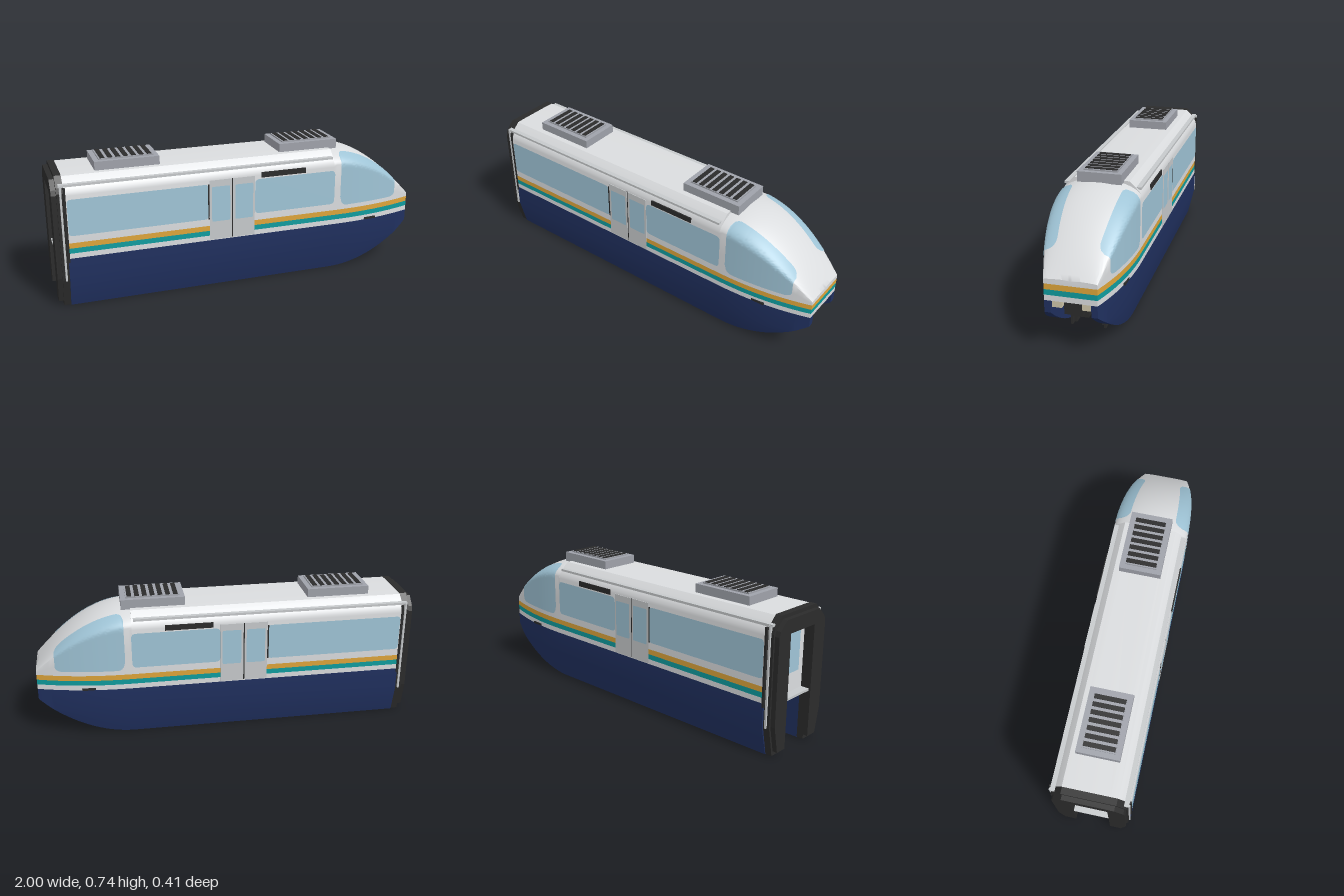
import * as THREE from 'three';
import { toCreasedNormals } from 'three/addons/utils/BufferGeometryUtils.js';

const mat = (name, color, side = THREE.FrontSide) => {
  const m = new THREE.MeshStandardMaterial({ color, side });
  m.name = name;
  return m;
};

export function createModel() {
  const white = mat('white', 0xdadcde), navy = mat('navy', 0x20305f), gold = mat('gold', 0xdda43a);
  const teal = mat('teal', 0x0f9c9e), glass = mat('glass', 0x9fc4d6, THREE.DoubleSide);
  const black = mat('black', 0x2b2b2b), grey = mat('grey', 0x9fa2aa);
  const cream = mat('cream', 0xcfc6aa), silver = mat('silver', 0xc6c9cb);
  const model = new THREE.Group();
  model.name = 'monorailCar';

  const add = (parent, name, geometry, material) => {
    const m = new THREE.Mesh(geometry, material);
    m.name = name;
    parent.add(m);
    return m;
  };
  // box given by its limits
  const box = (parent, name, material, x0, x1, y0, y1, z0, z1) => {
    const g = new THREE.BoxGeometry(x1 - x0, y1 - y0, z1 - z0);
    g.translate((x0 + x1) / 2, (y0 + y1) / 2, (z0 + z1) / 2);
    return add(parent, name, g, material);
  };
  const fromTriangles = (pos, crease) => {
    const g = new THREE.BufferGeometry();
    g.setAttribute('position', new THREE.Float32BufferAttribute(pos, 3));
    g.computeVertexNormals();
    return toCreasedNormals(g, crease);
  };
  // closed sections [z, y] lofted along x, with end caps
  const loft = (ringAt, xs, crease = 0.6) => {
    const rings = xs.map(x => ringAt(x).map(([z, y]) => [x, y, z]));
    const n = rings[0].length, pos = [];
    for (let k = 0; k + 1 < rings.length; k++) {
      for (let i = 0; i < n; i++) {
        const j = (i + 1) % n, a = rings[k], b = rings[k + 1];
        pos.push(...a[i], ...b[i], ...b[j], ...a[i], ...b[j], ...a[j]);
      }
    }
    [rings[0], rings[rings.length - 1]].forEach((r, end) => {
      const c = [0, 1, 2].map(d => r.reduce((s, p) => s + p[d], 0) / n);
      for (let i = 0; i < n; i++) {
        const p = r[i], q = r[(i + 1) % n];
        pos.push(...c, ...(end ? q : p), ...(end ? p : q));
      }
    });
    return fromTriangles(pos, crease);
  };
  // open patch from f(u, v), u and v in 0..1
  const patch = (f, nu, nv) => {
    const pos = [];
    for (let i = 0; i < nu; i++) for (let j = 0; j < nv; j++) {
      const p = (a, b) => f((i + a) / nu, (j + b) / nv);
      pos.push(...p(0, 0), ...p(1, 0), ...p(1, 1), ...p(0, 0), ...p(1, 1), ...p(0, 1));
    }
    return fromTriangles(pos, 0.8);
  };
  const shapeOf = pts => new THREE.Shape(pts.map(p => new THREE.Vector2(...p)));
  const mirrored = half => [...half, ...half.slice().reverse().map(([z, y]) => [-z, y])];

  // taper of the nose: half width, roof height and lower edge
  const REAR = -0.94, NOSE = 0.5, WAIST = 0.352, FLOOR = 0.27;
  const taper = x => Math.max(0, (x - NOSE) / (1 - NOSE));
  const width = x => 0.2 - 0.075 * taper(x) ** 2.2;
  const top = x => 0.685 - 0.305 * taper(x) ** 2;
  const bottom = x => 0.21 * taper(x) ** 2;
  const noseXs = Array.from({ length: 31 }, (_, i) => NOSE + (1 - NOSE) * i / 30);
  const allXs = [REAR, ...noseXs];

  // painted bands around the waist
  [['lowerBand', white, FLOOR, 0.297], ['tealStripe', teal, 0.297, 0.324], ['goldStripe', gold, 0.324, WAIST]]
    .forEach(([name, m, y0, y1]) => add(model, name, loft(x => {
      const w = width(x);
      return [[w, y0], [w, y1], [-w, y1], [-w, y0]];
    }, allXs), m));

  // passenger cabin and rounded nose
  const cabin = [[0.2, WAIST], [0.2, 0.6], [0.197, 0.615], [0.188, 0.634], [0.165, 0.66], [0.138, 0.684], [0.1, 0.686]];
  add(model, 'cabin', loft(() => mirrored(cabin), [REAR, NOSE]), white);
  const noseAt = (x, s) => {
    const a = Math.max(0, s - 0.5) * Math.PI;
    const r = s < 0.5 ? 1.5 * s : 0.75 + 0.25 * Math.sin(a);
    return [width(x) * Math.cos(a), WAIST + (top(x) - WAIST) * r];
  };
  const sSteps = [0, 0.25, ...Array.from({ length: 17 }, (_, i) => 0.5 + i / 32)];
  add(model, 'nose', loft(x => mirrored(sSteps.map(s => noseAt(x, s))), noseXs, 0.7), white);
  box(model, 'underfloor', black, REAR + 0.01, 0.985, 0.262, 0.271, -0.096, 0.096);

  // everything that exists on both sides
  for (const s of [1, -1]) {
    const side = new THREE.Group();
    side.name = s > 0 ? 'leftSide' : 'rightSide';
    side.scale.z = s;
    model.add(side);

    // skirt beside the track beam
    add(side, 'skirt', loft(x => {
      const b = bottom(x), knee = Math.max(b + 0.001, 0.15), w = width(x);
      return [[w - 0.035 * Math.max(0, 0.15 - b) / 0.15, b], [w, knee], [w, FLOOR], [0.095, FLOOR], [0.095, b]];
    }, allXs, 0.4), navy);

    // cab window following the nose
    add(side, 'cabWindow', patch((u, v) => {
      const x = 0.54 + 0.36 * u, d = Math.min(x - 0.54, 0.9 - x);
      const k = Math.max(0, 1 - d / 0.04), inset = 0.1 * (1 - Math.sqrt(1 - k * k));
      const lo = 0.023 / ((top(x) - WAIST) * 1.5) + inset, hi = 0.79 - inset;
      const [z, y] = noseAt(x, lo + (hi - lo) * v);
      return [x + 0.001, y + 0.0015, z + 0.002];
    }, 40, 24), glass);

    // flat panes with rounded corners
    const pane = (name, x0, x1, y0, y1, z, r) => {
      const sh = new THREE.Shape();
      sh.moveTo(x0 + r, y0);
      sh.lineTo(x1 - r, y0); sh.quadraticCurveTo(x1, y0, x1, y0 + r);
      sh.lineTo(x1, y1 - r); sh.quadraticCurveTo(x1, y1, x1 - r, y1);
      sh.lineTo(x0 + r, y1); sh.quadraticCurveTo(x0, y1, x0, y1 - r);
      sh.lineTo(x0, y0 + r); sh.quadraticCurveTo(x0, y0, x0 + r, y0);
      add(side, name, new THREE.ShapeGeometry(sh, 6).translate(0, 0, z), glass);
    };
    pane('rearWindow', -0.93, -0.21, 0.39, 0.58, 0.202, 0.02);
    pane('frontWindow', 0.045, 0.505, 0.39, 0.58, 0.202, 0.025);

    // sliding doors
    box(side, 'doorGap', black, -0.085, -0.077, 0.275, 0.6, 0.19, 0.2015);
    [[-0.205, -0.084], [-0.078, 0.043]].forEach(([x0, x1]) => {
      box(side, 'doorLeaf', silver, x0, x1, 0.275, 0.6, 0.19, 0.203);
      pane('doorWindow', x0 + 0.012, x1 - 0.01, 0.375, 0.565, 0.2045, 0.008);
    });
    box(side, 'doorEdge', black, -0.213, -0.206, 0.39, 0.58, 0.195, 0.203);
    box(side, 'displayPanel', black, 0.08, 0.33, 0.587, 0.615, 0.19, 0.204);
    box(side, 'sideMarker', black, 0.7, 0.77, 0.27, 0.282, 0.17, 0.19);

    // rain rail and rear corner pipe
    box(side, 'roofRail', silver, -0.965, 0.49, 0.643, 0.655, 0.17, 0.194);
    box(side, 'cornerPipe', silver, -0.961, -0.951, 0.15, 0.65, 0.185, 0.2);
    box(side, 'rearWindowEdge', black, -0.944, -0.933, 0.25, 0.64, 0.19, 0.203);

    // bogie plates with guide wheel blocks
    for (const cx of [0.565, -0.525]) {
      box(side, 'bogiePlate', black, cx - 0.185, cx + 0.185, 0.02, 0.23, 0.078, 0.088);
      for (const dx of [-0.115, 0.115]) for (const y of [0.025, 0.085])
        box(side, 'guideBlock', black, cx + dx - 0.05, cx + dx + 0.05, y, y + 0.037, 0.062, 0.078);
    }
    box(side, 'headlamp', cream, 0.93, 0.985, 0.232, 0.266, 0.047, 0.093);
  }

  // coupler under the nose
  box(model, 'couplerHead', black, 0.8, 0.96, 0.19, 0.272, -0.045, 0.045);
  box(model, 'couplerArm', black, 0.68, 0.88, 0.14, 0.262, -0.045, 0.045);
  box(model, 'couplerBracket', grey, 0.72, 0.8, 0.182, 0.232, -0.06, 0.06);

  // roof units with slatted grilles
  for (const cx of [-0.605, 0.38]) {
    const unit = new THREE.Group();
    unit.name = 'roofUnit';
    unit.position.x = cx;
    model.add(unit);
    box(unit, 'housing', grey, -0.166, 0.166, 0.678, 0.73, -0.11, 0.11);
    box(unit, 'grille', grey, -0.14, 0.14, 0.73, 0.737, -0.084, 0.084);
    for (let i = 0; i < 7; i++) {
      const x = -0.12 + i * 0.04;
      box(unit, 'slat', black, x - 0.012, x + 0.012, 0.732, 0.74, -0.08, 0.08);
    }
  }

  // rear gangway: two arched frames around a recessed door
  const arch = (name, x0, x1, half) => {
    const outer = mirrored(half);
    const g = new THREE.ExtrudeGeometry(
      shapeOf([[0.095, half[0][1]], ...outer, [-0.095, half[0][1]], [-0.095, 0.6], [0.095, 0.6]]),
      { depth: x1 - x0, bevelEnabled: false });
    g.rotateY(Math.PI / 2).translate(x0, 0, 0);
    add(model, name, g, black);
  };
  arch('gangwayFrame', -0.975, REAR, [[0.162, 0.002], [0.192, 0.15], [0.192, 0.61], [0.182, 0.638], [0.136, 0.688]]);
  arch('gangwaySeal', -1, -0.975, [[0.155, 0.025], [0.183, 0.16], [0.183, 0.6], [0.174, 0.626], [0.13, 0.67]]);
  box(model, 'rearDoor', white, REAR - 0.006, REAR, FLOOR, 0.6, -0.095, 0.095);
  box(model, 'rearDoorWindow', glass, REAR - 0.009, REAR - 0.005, 0.37, 0.57, -0.06, 0.06);
  box(model, 'gangwayFloor', silver, -0.99, REAR, 0.262, 0.274, -0.095, 0.095);
  return model;
}
